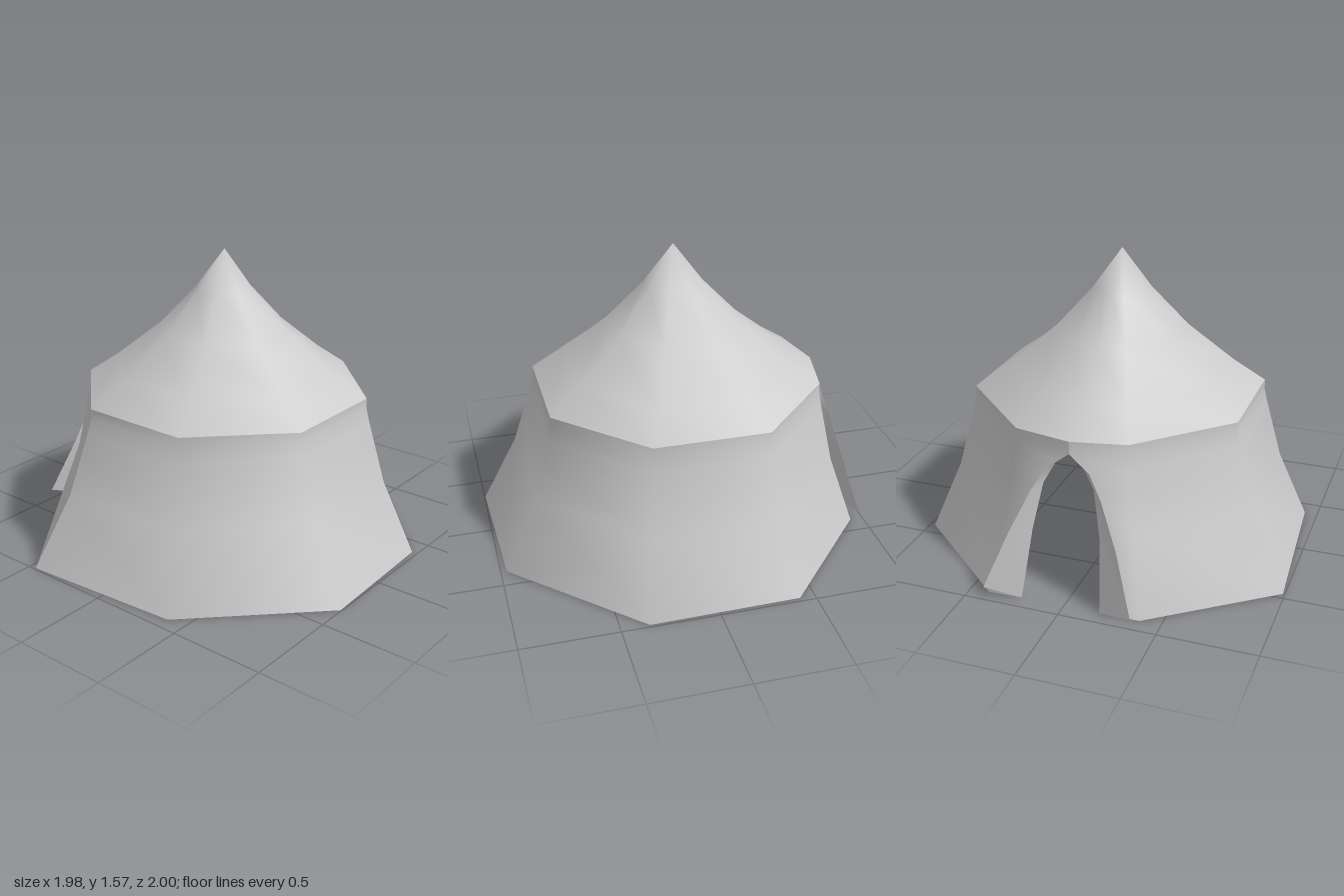
import * as THREE from 'three';
import { mergeVertices } from 'three/addons/utils/BufferGeometryUtils.js';

const cloth = new THREE.MeshStandardMaterial({ color: 0xcccccc, side: THREE.DoubleSide });

// Smooth cloth surface stretched between columns of [x, y, z] points, each listed from the top down
function sheet(name, columns) {
  const rows = columns[0].length;
  const index = [];
  for (let i = 0; i < columns.length - 1; i++) {
    for (let j = 0; j < rows - 1; j++) {
      const a = i * rows + j, b = a + rows;
      index.push(a, b, a + 1, b, b + 1, a + 1);
    }
  }
  let geo = new THREE.BufferGeometry();
  geo.setAttribute('position', new THREE.Float32BufferAttribute(columns.flat(2), 3));
  geo.setIndex(index);
  geo = mergeVertices(geo, 1e-4);
  geo.computeVertexNormals();
  const mesh = new THREE.Mesh(geo, cloth);
  mesh.name = name;
  return mesh;
}

// Corners from the back left round the front to the back right: eave x, z and base x, z
const corners = [
  [0.31, -0.73, 0.40, -0.93],
  [0.725, -0.32, 0.975, -0.42],
  [0.725, 0.27, 0.985, 0.355],
  [0.31, 0.69, 0.385, 0.97],
  [-0.27, 0.69, -0.34, 0.995],
  [-0.69, 0.27, -0.93, 0.40],
  [-0.69, -0.31, -0.99, -0.46],
  [-0.27, -0.73, -0.39, -0.92],
];
const doorTop = [0.01, -0.79];

// Wall rows: height and how far the cloth has flared from eave to base
const wallRows = [[0.83, 0], [0.78, 0], [0.7, 0.07], [0.6, 0.17], [0.38, 0.39], [0, 1]];
const wallColumn = ([ex, ez, bx, bz]) =>
  wallRows.map(([y, t]) => [ex + (bx - ex) * t, y, ez + (bz - ez) * t]);

// Edge of the door opening and free edge of the folded-back flap, s = +1 left, -1 right
const doorEdge = (s) => [
  [0.01, 0.83, -0.79], [0.01, 0.765, -0.79],
  [0.01 + s * 0.07, 0.71, -0.79], [0.01 + s * 0.13, 0.6, -0.805],
  [0.01 + s * 0.175, 0.36, -0.85], [0.02 + s * 0.205, 0, -0.92],
];
const flapEdge = (s) => [
  [0.01, 0.765, -0.79],
  [0.01 + s * 0.11, 0.69, -0.815], [0.01 + s * 0.18, 0.57, -0.845],
  [0.015 + s * 0.28, 0.34, -0.9], [0.02 + s * 0.39, 0.05, -0.985 - s * 0.015 * -1],
];

export function createModel() {
  const tent = new THREE.Group();
  tent.name = 'tent';

  // Concave pointed roof: every ring is the eave outline shrunk towards the apex
  const apex = [0.015, -0.015];
  const roofRows = [[1.57, 0], [1.36, 0.2], [1.15, 0.455], [0.95, 0.775], [0.83, 1]];
  const eave = [doorTop, ...corners, doorTop];
  tent.add(sheet('roof', eave.map(([x, z]) => roofRows.map(([y, t]) =>
    [apex[0] + (x - apex[0]) * t, y, apex[1] + (z - apex[1]) * t]))));

  // Flared wall, with a sharp fold at the back right corner
  const wall = corners.map(wallColumn);
  tent.add(sheet('wall', [doorEdge(1), ...wall.slice(0, 7)]));
  tent.add(sheet('backRightWall', [...wall.slice(6), doorEdge(-1)]));

  // Door flaps folded outwards
  tent.add(sheet('leftFlap', [doorEdge(1).slice(1), flapEdge(1)]));
  tent.add(sheet('rightFlap', [flapEdge(-1), doorEdge(-1).slice(1)]));

  return tent;
}
